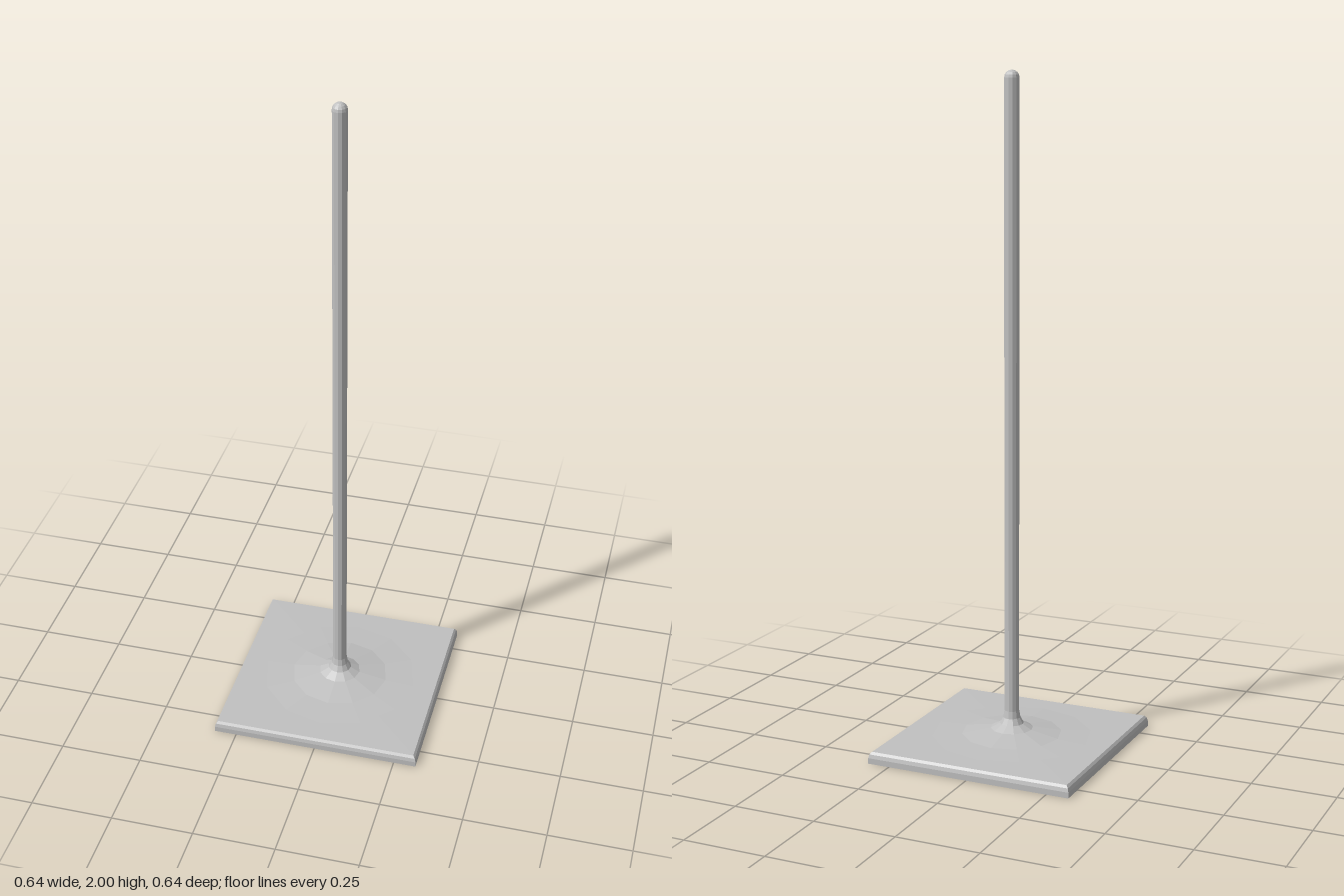
import * as THREE from 'three';

// Revolves a bottom-to-top [radius, height] profile
function turned(name, profile, sides, material, phi = 0) {
  const points = profile.map(([r, y]) => new THREE.Vector2(r, y));
  const mesh = new THREE.Mesh(new THREE.LatheGeometry(points, sides, phi), material);
  mesh.name = name;
  return mesh;
}

export function createModel() {
  const model = new THREE.Group();
  model.name = 'poleStand';
  const metal = new THREE.MeshStandardMaterial({ color: 0xc0c0c0, flatShading: true });
  metal.name = 'grey metal';

  // Square base plate with a rounded upper edge
  const plate = [[0, 0], [0.318, 0], [0.318, 0.017], [0.315, 0.028], [0.309, 0.035], [0, 0.036]]
    .map(([r, y]) => [r * Math.SQRT2, y]);
  model.add(turned('basePlate', plate, 4, metal, Math.PI / 4));

  // Shallow flared collar rising into the pole
  model.add(turned('flare', [
    [0.24, 0.0355], [0.15, 0.04], [0.064, 0.055], [0.036, 0.07], [0.026, 0.088], [0.022, 0.11],
  ], 12, metal));

  // Pole with a domed tip
  const radius = 0.022;
  const pole = [[radius, 0.11]];
  for (let i = 0; i <= 4; i++) {
    const a = (i / 4) * Math.PI / 2;
    pole.push([i === 4 ? 0 : radius * Math.cos(a), 2 - radius + radius * Math.sin(a)]);
  }
  model.add(turned('pole', pole, 12, metal));

  return model;
}
